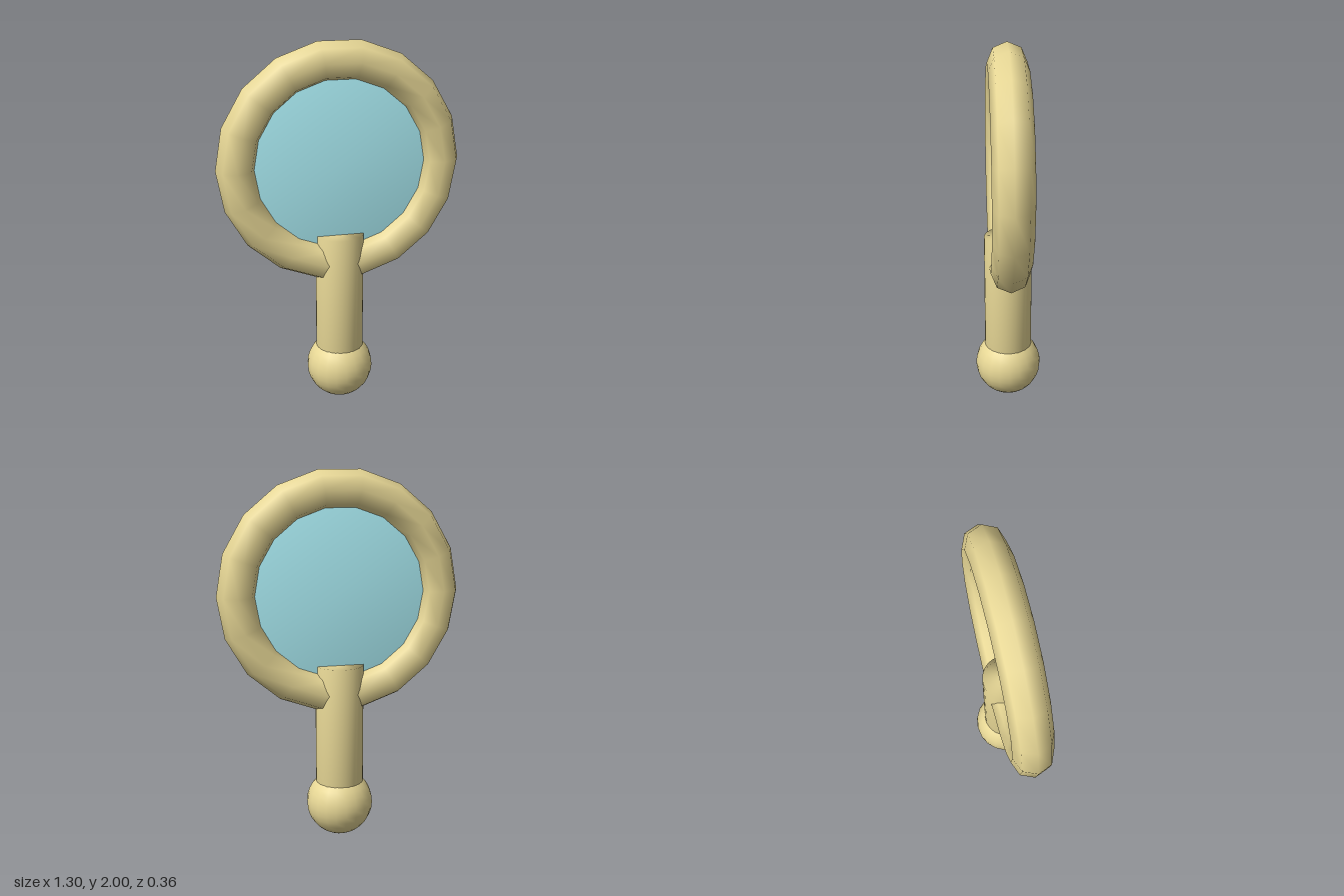
import * as THREE from 'three';
import { mergeVertices } from 'three/addons/utils/BufferGeometryUtils.js';

// Cylinder whose caps and side share smooth normals
function softCylinder(radius, height, sides) {
  const geometry = new THREE.CylinderGeometry(radius, radius, height, sides);
  geometry.deleteAttribute('normal');
  geometry.deleteAttribute('uv');
  const welded = mergeVertices(geometry);
  welded.computeVertexNormals();
  return welded;
}

export function createModel() {
  const model = new THREE.Group();
  const frameMat = new THREE.MeshStandardMaterial({ color: 0xe8d896 });
  const glassMat = new THREE.MeshStandardMaterial({ color: 0xb0f4fc });

  function add(name, geometry, material, y) {
    const mesh = new THREE.Mesh(geometry, material);
    mesh.name = name;
    mesh.position.y = y;
    model.add(mesh);
    return mesh;
  }

  // Round frame, eight-sided in section
  add('ring', new THREE.TorusGeometry(0.547, 0.104, 8, 18), frameMat, 1.359);

  // Flat glass disc, its rim buried in the ring
  add('lens', softCylinder(0.52, 0.054, 32), glassMat, 1.359).rotation.x = Math.PI / 2;

  // Straight handle, reaching into the ring and the end ball
  add('handle', softCylinder(0.13, 0.77, 32), frameMat, 0.583);

  // Ball at the end of the handle
  add('endBall', new THREE.SphereGeometry(0.182, 20, 16), frameMat, 0.182);

  return model;
}
